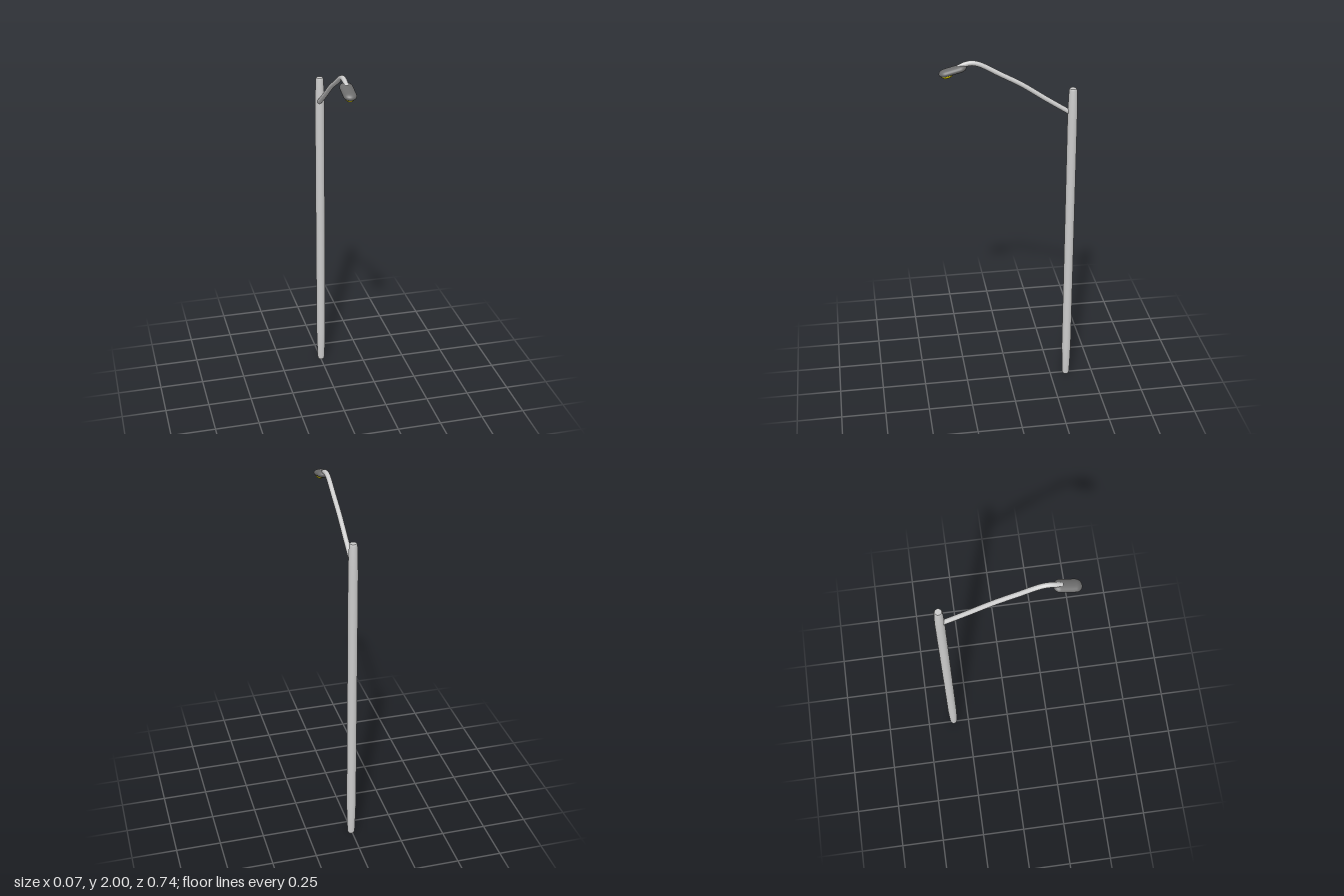
import * as THREE from 'three';

const grey = new THREE.MeshStandardMaterial({ color: 0xcccccc });
const dark = new THREE.MeshStandardMaterial({ color: 0x6c6c6c });
const yellow = new THREE.MeshStandardMaterial({ color: 0xf0e000 });

function addPart(parent, name, geometry, material, x = 0, y = 0, z = 0) {
  const mesh = new THREE.Mesh(geometry, material);
  mesh.name = name;
  mesh.position.set(x, y, z);
  parent.add(mesh);
  return mesh;
}

export function createModel() {
  const model = new THREE.Group();
  model.name = 'streetLight';

  // Upright pole, tapered at both ends; doubled points keep the cap rims crisp
  const profile = [
    [0, 0], [0.018, 0], [0.018, 0], [0.021, 0.012], [0.024, 0.1], [0.0265, 0.2],
    [0.0265, 1.64], [0.025, 1.72], [0.022, 1.808], [0.018, 1.818], [0.018, 1.818], [0, 1.818],
  ].map(([r, y]) => new THREE.Vector2(r, y));
  addPart(model, 'pole', new THREE.LatheGeometry(profile, 24), grey, 0.004, 0, -0.343);

  // Arm rising from the pole and bending over into the lamp head
  const path = new THREE.CatmullRomCurve3([
    [1.678, -0.335], [1.765, -0.2], [1.855, -0.066], [1.922, 0.055], [1.975, 0.15],
    [1.986, 0.19], [1.983, 0.225], [1.968, 0.262],
  ].map(([y, z]) => new THREE.Vector3(0, y, z)));
  const armRadius = 0.0135;
  addPart(model, 'arm', new THREE.TubeGeometry(path, 48, armRadius, 16), grey);
  const end = path.getPoint(1);
  addPart(model, 'armEnd', new THREE.SphereGeometry(armRadius, 16, 12), grey, 0, end.y, end.z);

  // Flattened lamp head with the bulb cover beneath, tilted down to the front
  const head = new THREE.Group();
  head.name = 'lampHead';
  head.position.set(0, 1.95, 0.295);
  head.rotation.x = 0.25;
  const housing = new THREE.CapsuleGeometry(0.035, 0.079, 10, 24);
  housing.rotateX(Math.PI / 2);
  housing.scale(1, 0.56, 1);
  addPart(head, 'housing', housing, dark);
  const cover = new THREE.SphereGeometry(1, 24, 16);
  cover.scale(0.027, 0.02, 0.034);
  addPart(head, 'bulbCover', cover, yellow, 0, -0.011, 0.033);
  model.add(head);

  return model;
}
